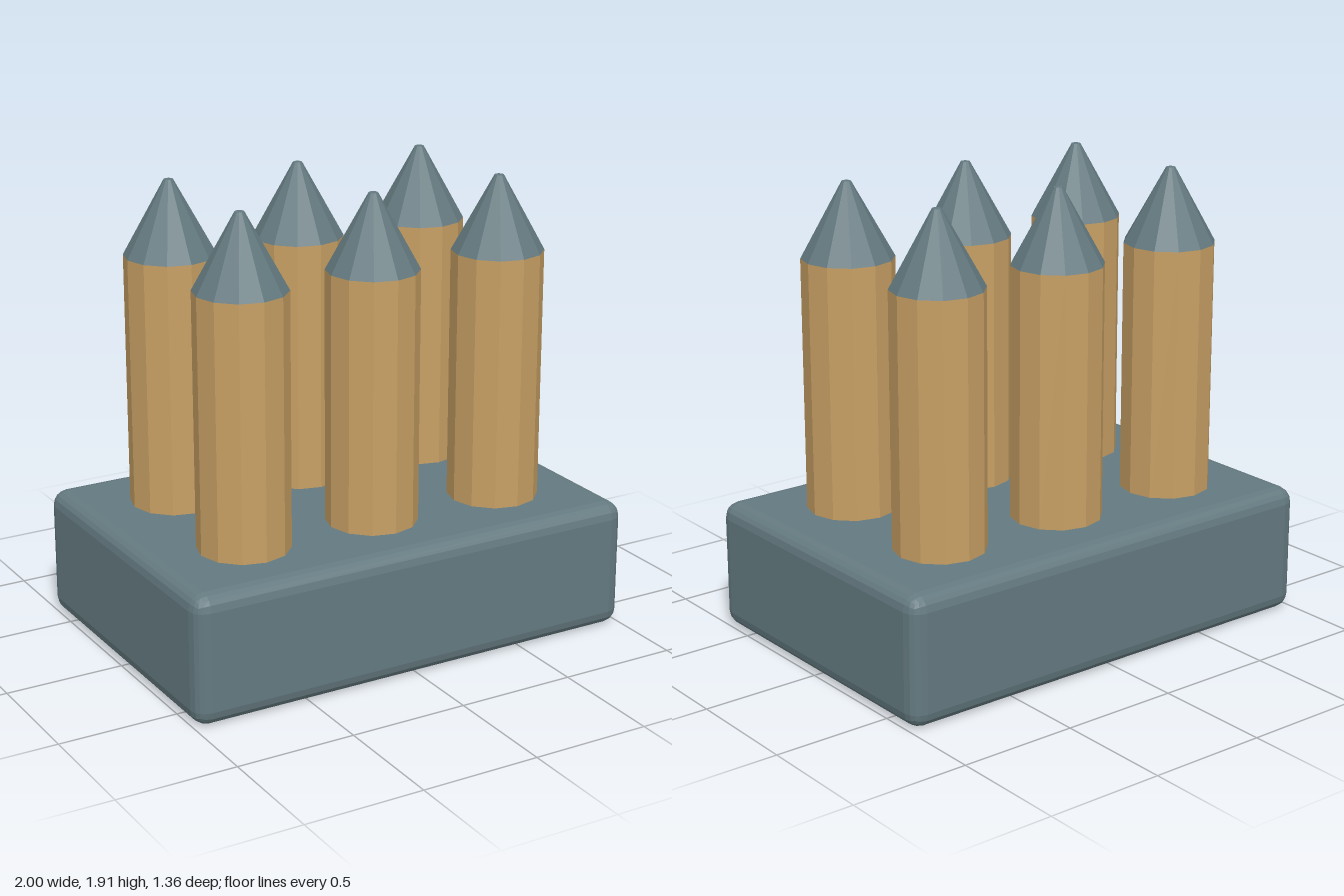
import * as THREE from 'three';
import { RoundedBoxGeometry } from 'three/addons/geometries/RoundedBoxGeometry.js';

const BASE_HEIGHT = 0.545;
const SHAFT_TOP = 1.6;
const TIP_TOP = 1.91;
const RADIUS = 0.19;
const SIDES = 12;

export function createModel() {
  const model = new THREE.Group();
  model.name = 'spikedBlock';
  const slate = new THREE.MeshStandardMaterial({ color: 0x647a80, flatShading: true });
  const wood = new THREE.MeshStandardMaterial({ color: 0xc8a064, flatShading: true });

  const add = (parent, name, geometry, material, y) => {
    const mesh = new THREE.Mesh(geometry, material);
    mesh.name = name;
    mesh.position.y = y;
    parent.add(mesh);
  };

  // Block with softened edges
  add(model, 'base', new RoundedBoxGeometry(2, BASE_HEIGHT, 1.364, 2, 0.065), slate, BASE_HEIGHT / 2);

  // Wooden shafts, sunk a little into the block, with blunt pointed tips
  const sunk = BASE_HEIGHT - 0.03;
  const shaft = new THREE.CylinderGeometry(RADIUS, RADIUS, SHAFT_TOP - sunk, SIDES);
  const tip = new THREE.CylinderGeometry(0.019, RADIUS, TIP_TOP - SHAFT_TOP, SIDES);

  // Two rows of three stakes
  for (const z of [-0.3, 0.3]) {
    for (const x of [-0.59, 0, 0.59]) {
      const stake = new THREE.Group();
      stake.name = 'stake';
      stake.position.set(x, 0, z);
      add(stake, 'shaft', shaft, wood, (SHAFT_TOP + sunk) / 2);
      add(stake, 'tip', tip, slate, (TIP_TOP + SHAFT_TOP) / 2);
      model.add(stake);
    }
  }
  return model;
}
